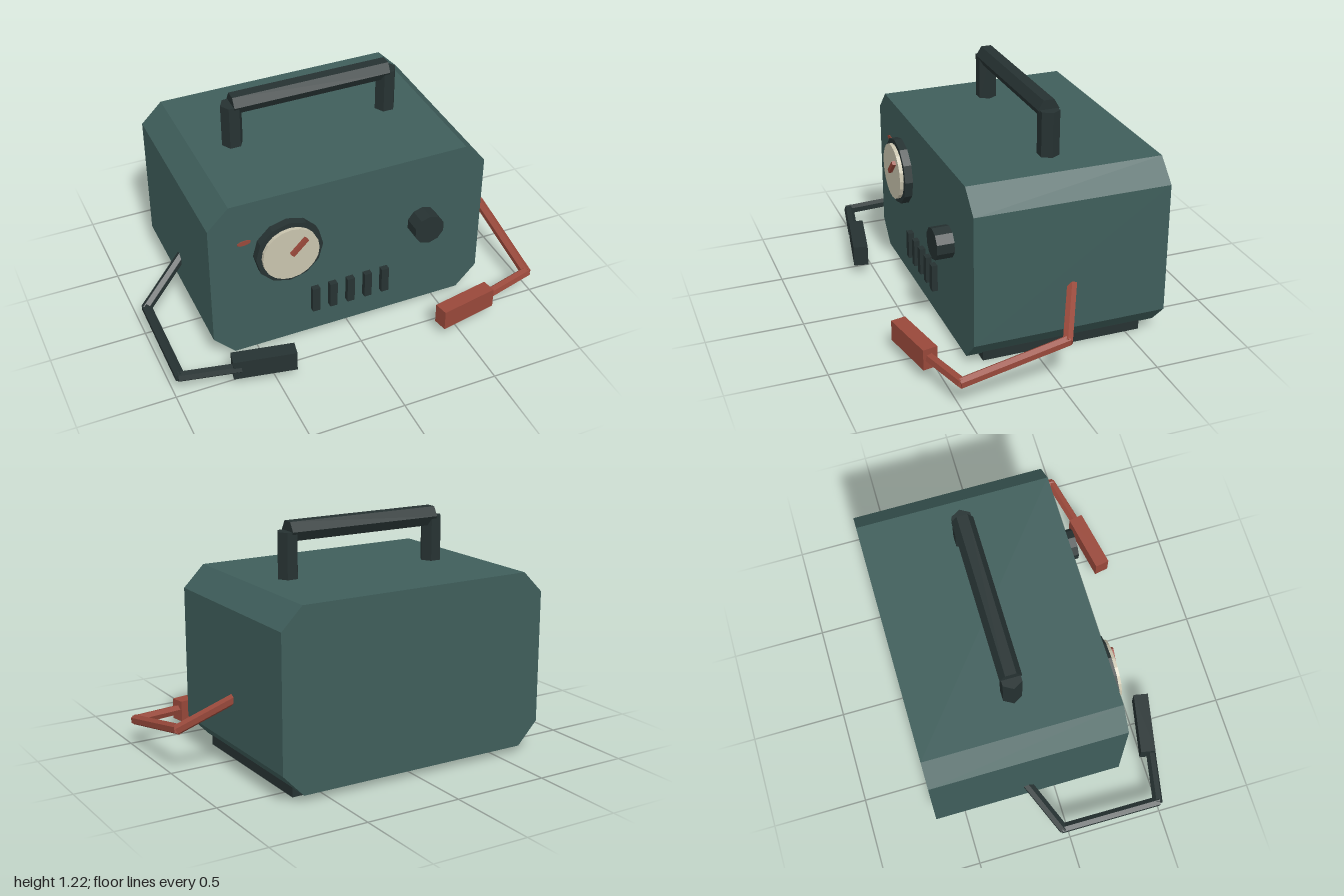
import * as THREE from 'three';

const mat = (name, color) => {
  const m = new THREE.MeshStandardMaterial({ color, flatShading: true });
  m.name = name;
  return m;
};

export function createModel() {
  const group = new THREE.Group();
  const teal = mat('teal casing', 0x3f5e5b);
  const dark = mat('dark rubber', 0x263232);
  const red = mat('red', 0x98483a);
  const cream = mat('cream dial', 0xc8c3ad);

  const add = (name, geo, material, x, y, z) => {
    const mesh = new THREE.Mesh(geo, material);
    mesh.name = name;
    mesh.position.set(x, y, z);
    group.add(mesh);
    return mesh;
  };
  const box = (name, w, h, d, material, x, y, z) =>
    add(name, new THREE.BoxGeometry(w, h, d), material, x, y, z);
  // Disc standing on the front panel, from z0 to z1
  const disc = (name, r, sides, material, x, y, z0, z1) =>
    add(name, new THREE.CylinderGeometry(r, r, z1 - z0, sides).rotateX(Math.PI / 2),
      material, x, y, (z0 + z1) / 2);

  // Casing: octagonal section run from back to front
  const outline = [[-0.63, 0.035], [0.63, 0.035], [0.74, 0.15], [0.74, 0.83],
    [0.63, 0.94], [-0.63, 0.94], [-0.74, 0.83], [-0.74, 0.15]];
  const section = new THREE.Shape(outline.map(([x, y]) => new THREE.Vector2(x, y)));
  add('casing', new THREE.ExtrudeGeometry(section, { depth: 1.005, bevelEnabled: false }),
    teal, 0, 0, -0.66);
  box('base', 1.29, 0.05, 0.84, dark, 0, 0.025, -0.155);

  // Carrying handle: hexagonal posts and bar
  for (const s of [-1, 1]) {
    add('handlePost', new THREE.CylinderGeometry(0.055, 0.055, 0.24, 6).rotateY(Math.PI / 2),
      dark, s * 0.42, 1.05, -0.155);
  }
  add('handleBar', new THREE.CylinderGeometry(0.055, 0.055, 0.84, 6).rotateZ(Math.PI / 2),
    dark, 0, 1.17, -0.155);

  // Meter with needle
  disc('meterRim', 0.176, 12, dark, -0.34, 0.616, 0.335, 0.387);
  disc('meterFace', 0.148, 20, cream, -0.34, 0.616, 0.38, 0.407);
  box('needle', 0.11, 0.022, 0.02, red, -0.302, 0.658, 0.416).rotation.z = Math.PI / 4;

  // Indicator lamp, knob and vents
  const lamp = disc('indicatorLamp', 0.036, 10, red, -0.56, 0.711, 0.34, 0.349);
  lamp.scale.y = 0.38;
  lamp.rotation.z = 0.08;
  disc('knob', 0.082, 10, dark, 0.4, 0.552, 0.335, 0.434);
  for (let i = -2; i <= 2; i++) {
    box('vent', 0.04, 0.145, 0.05, dark, i * 0.096 - 0.002, 0.247, 0.35);
  }

  // Cables of straight hexagonal runs, each ending in a clamp
  const cable = (name, points, material) => {
    const p = points.map((a) => new THREE.Vector3(...a));
    for (let i = 0; i < p.length - 1; i++) {
      const dir = p[i + 1].clone().sub(p[i]);
      const mid = p[i].clone().add(p[i + 1]).multiplyScalar(0.5);
      const run = add(name, new THREE.CylinderGeometry(0.027, 0.027, dir.length() + 0.016, 6),
        material, mid.x, mid.y, mid.z);
      run.quaternion.setFromUnitVectors(new THREE.Vector3(0, 1, 0), dir.normalize());
    }
  };
  cable('leftCable', [[0.7, 0.4, -0.175], [0.97, 0.235, -0.035], [0.97, 0.127, 0.49],
    [0.68, 0.115, 0.56]], red);
  cable('rightCable', [[-0.7, 0.33, -0.175], [-0.97, 0.14, -0.035], [-0.97, 0.12, 0.49],
    [-0.68, 0.115, 0.545]], dark);
  box('leftClamp', 0.32, 0.11, 0.077, red, 0.55, 0.115, 0.583).rotation.y = 0.19;
  box('rightClamp', 0.32, 0.11, 0.077, dark, -0.553, 0.115, 0.55).rotation.y = -0.19;

  return group;
}
